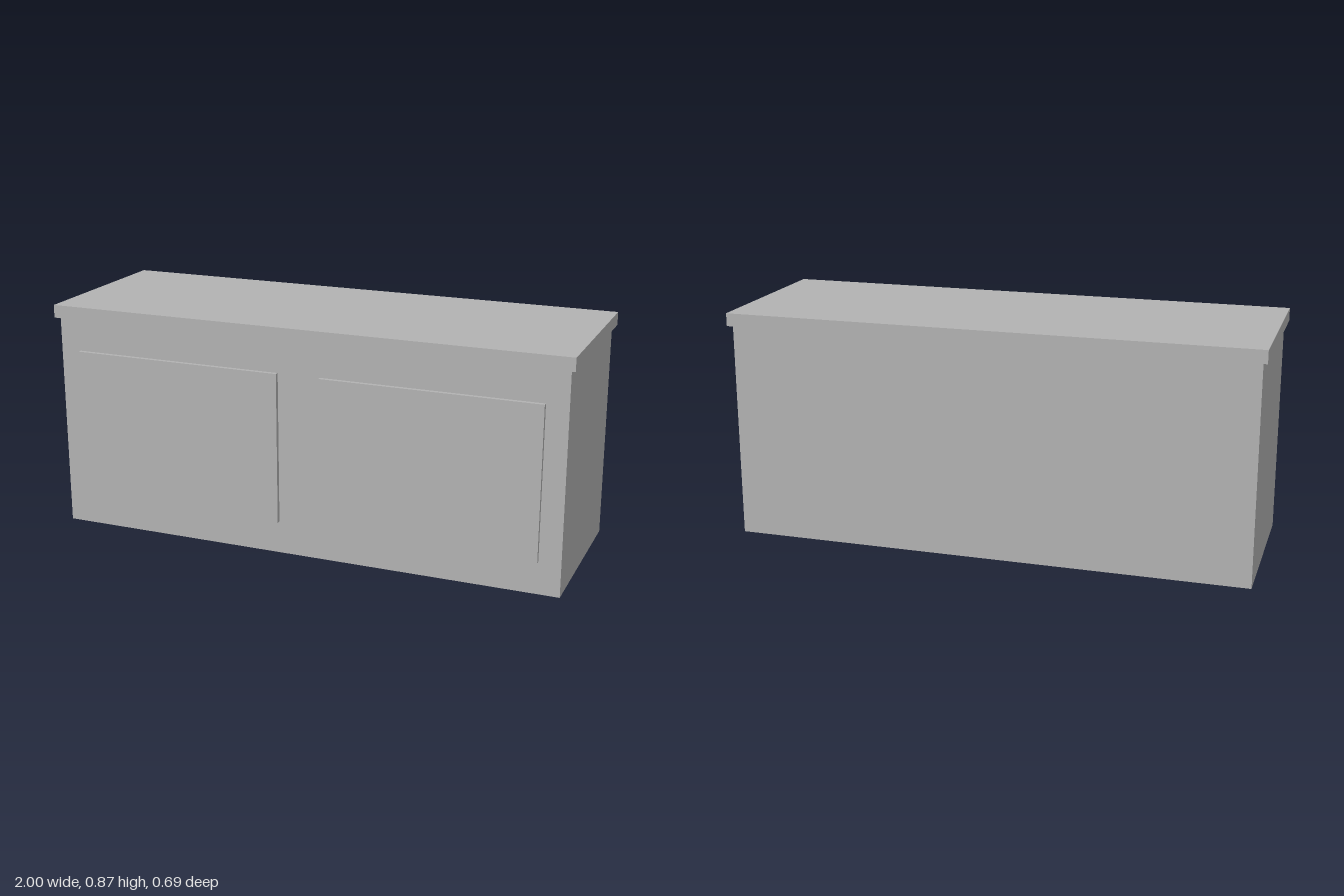
import * as THREE from 'three';

export function createModel() {
  const model = new THREE.Group();
  model.name = 'cabinet';
  const grey = new THREE.MeshStandardMaterial({ color: 0xb2b2b2 });
  grey.name = 'grey';

  // Box given by its size and the centre of its underside
  function addBox(name, [w, h, d], [x, y, z]) {
    const mesh = new THREE.Mesh(new THREE.BoxGeometry(w, h, d), grey);
    mesh.name = name;
    mesh.position.set(x, y + h / 2, z);
    model.add(mesh);
  }

  const bodyHeight = 0.822, bodyDepth = 0.656, doorDepth = 0.016;

  // Carcass and overhanging worktop
  addBox('body', [1.967, bodyHeight, bodyDepth], [0, 0, 0]);
  addBox('worktop', [2, 0.049, 0.689], [0, bodyHeight, 0]);

  // Pair of raised door panels on the front
  for (const [name, side] of [['leftDoor', 1], ['rightDoor', -1]]) {
    addBox(name, [0.82, 0.574, doorDepth], [side * 0.492, 0.124, (bodyDepth + doorDepth) / 2]);
  }

  return model;
}
